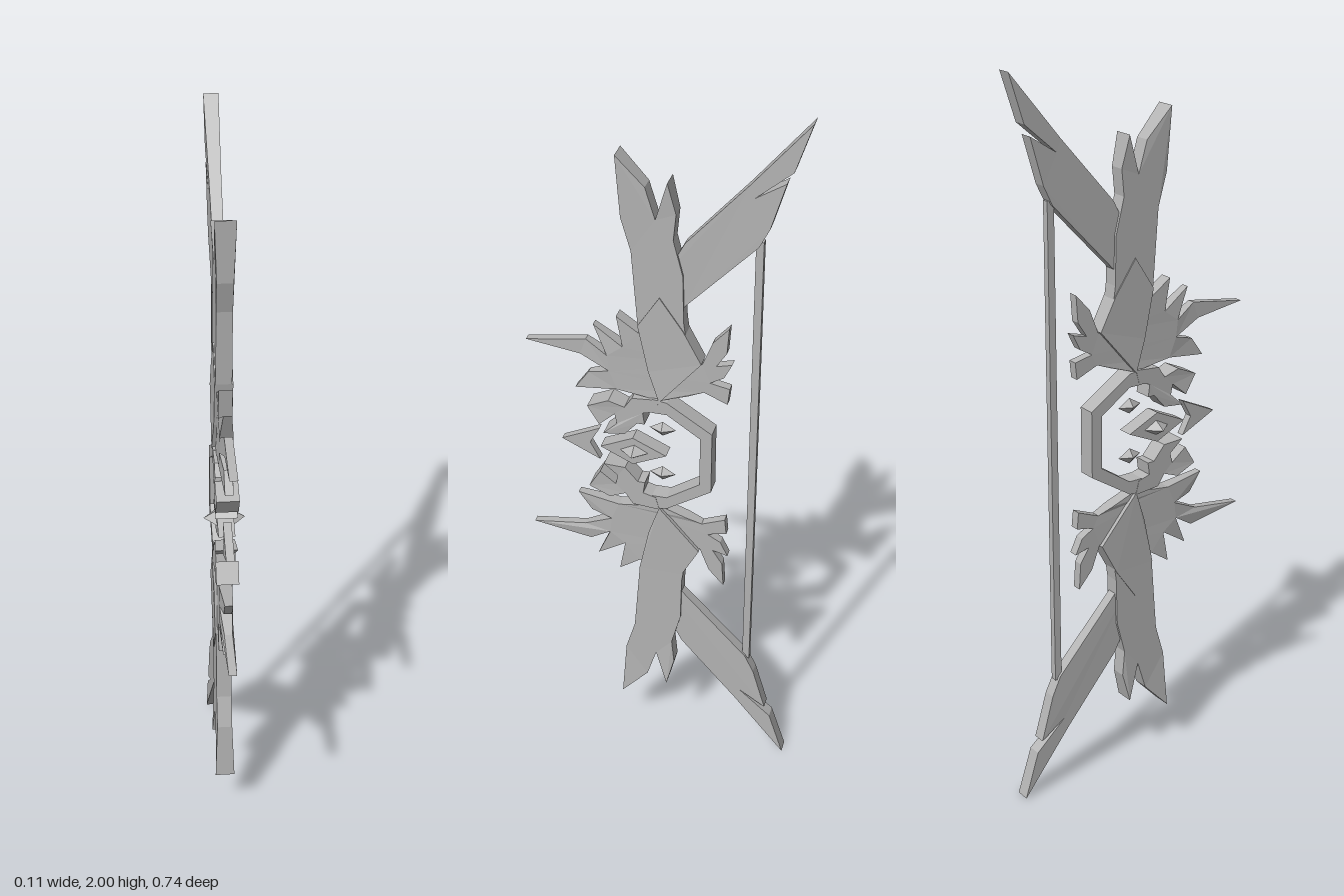
import * as THREE from 'three';

const steel = new THREE.MeshStandardMaterial({ color: 0xb4b4b4 });
steel.name = 'pale steel';
steel.flatShading = true;

// Plate cut from a [z, height above the middle] outline. half gives the half thickness in x.
function plate(name, points, half, flip = 1) {
  const shape = new THREE.Shape(points.map(([z, h]) => new THREE.Vector2(z, 1 + h * flip)));
  const geo = new THREE.ExtrudeGeometry(shape, { depth: 2, bevelEnabled: false });
  geo.translate(0, 0, -1);
  geo.rotateY(-Math.PI / 2);
  const p = geo.attributes.position;
  for (let i = 0; i < p.count; i++) {
    const t = typeof half === 'function' ? half(p.getZ(i), Math.abs(p.getY(i) - 1)) : half;
    p.setX(i, p.getX(i) * t);
  }
  geo.computeVertexNormals();
  const mesh = new THREE.Mesh(geo, steel);
  mesh.name = name;
  return mesh;
}

// Eight-sided crystal
function gem(name, y, z, sx, sy, sz) {
  const mesh = new THREE.Mesh(new THREE.OctahedronGeometry(1), steel);
  mesh.name = name;
  mesh.scale.set(sx, sy, sz);
  mesh.position.set(0, y, z);
  return mesh;
}

// Forked front blade of the limb
const frontBlade = [[.111, .865], [.037, .786], [.011, .701], [-.021, .807], [-.042, .722], [-.035, .65],
  [-.06, .553], [-.063, .42], [-.074, .34], [0, .172], [.058, .394], [.074, .606], [.1, .696]];

// Swept rear blade with a second prong
const rearBlade = [[-.021, .563], [-.063, .643], [-.222, .823], [-.37, 1], [-.328, .87], [-.235, .79],
  [-.312, .839], [-.275, .712], [-.249, .659], [-.063, .463], [-.01, .447]];

// Spread of pointed leaves at the root of the limb
const leafSpread = [[0, .172], [.116, .188], [.233, .172], [.196, .225], [.138, .241], [.217, .278], [.365, .299],
  [.201, .325], [.143, .288], [.18, .373], [.1, .32], [.116, .41], [.058, .37], [-.063, .37],
  [-.111, .299], [-.138, .368], [-.18, .415], [-.175, .341], [-.148, .299], [-.19, .31], [-.169, .267],
  [-.132, .246], [-.185, .235], [-.18, .188], [-.116, .214], [-.074, .198]];

// Raised middle leaf
const middleLeaf = [[0, .484], [-.063, .394], [-.111, .304], [0, .172], [.03, .26], [.058, .394]];

// Claws around the grip
const claw = [[0, .178], [.074, .172], [.095, .14], [.138, .156], [.196, .13], [.164, .077], [.122, .114],
  [.116, .085], [.153, .05], [.095, .055], [.06, .095], [.04, .095], [.045, .13], [.01, .14]];

// Open grip
const grip = [[.02, .178], [-.02, .172], [-.143, .093], [-.143, -.093], [-.02, -.172], [.02, -.178],
  [.02, -.135], [-.02, -.135], [-.111, -.074], [-.111, .074], [-.02, .135], [.02, .135]];

export function createModel() {
  const model = new THREE.Group();
  model.name = 'bow';

  for (const [side, flip] of [['upper', 1], ['lower', -1]]) {
    const limb = new THREE.Group();
    limb.name = side + 'Limb';
    limb.add(
      plate('frontBlade', frontBlade, (z, h) => (h > .8 ? .027 : .021), flip),
      plate('rearBlade', rearBlade, (z) => .014 + Math.max(0, -z - .15) * .025, flip),
      plate('leafSpread', leafSpread, (z) => (z > .15 ? .011 : z < -.1 ? .013 : .018), flip),
      plate('middleLeaf', middleLeaf, (z, h) => (h < .2 ? .028 : .024), flip),
      plate('claw', claw, (z) => (z > .13 ? .03 : .026), flip),
      gem('smallGem', 1 + flip * .072, -.003, .018, .022, .036),
    );
    model.add(limb);
  }

  model.add(plate('grip', grip, .025));
  // Frame and crystal in the middle, and the floating point ahead of them
  model.add(plate('gemFrame', [[.164, 0], [.074, .042], [-.018, 0], [.074, -.042]], .022));
  model.add(gem('centreGem', 1, .07, .055, .034, .064));
  model.add(plate('floatingPoint', [[.275, 0], [.169, .05], [.196, 0], [.169, -.05]], .011));

  const string = new THREE.Mesh(new THREE.BoxGeometry(.018, 1.34, .02), steel);
  string.name = 'bowString';
  string.position.set(0, 1, -.25);
  model.add(string);
  return model;
}
